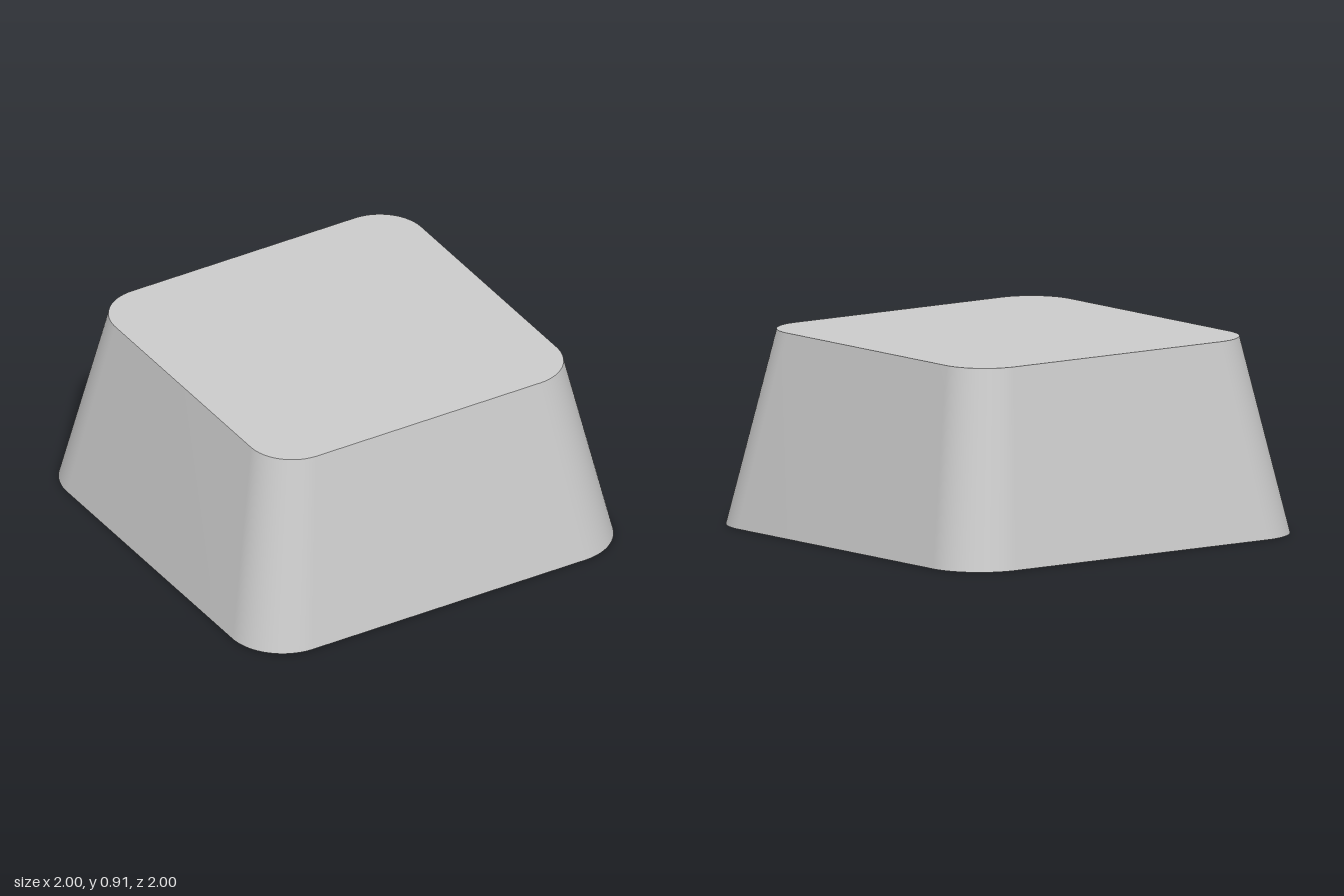
import * as THREE from 'three';
import { toCreasedNormals } from 'three/addons/utils/BufferGeometryUtils.js';

const HEIGHT = 0.91, HALF = 1, RADIUS = 0.27, TOP_SCALE = 0.82;

// Square outline with rounded corners
function roundedSquare(half, radius) {
  const shape = new THREE.Shape();
  const c = half - radius;
  [[c, c], [-c, c], [-c, -c], [c, -c]].forEach(([x, y], i) => {
    shape.absarc(x, y, radius, i * Math.PI / 2, (i + 1) * Math.PI / 2, false);
  });
  shape.closePath();
  return shape;
}

export function createModel() {
  const group = new THREE.Group();
  group.name = 'taperedBlock';

  // Upright prism standing on the ground
  const prism = new THREE.ExtrudeGeometry(roundedSquare(HALF, RADIUS), {
    depth: HEIGHT, bevelEnabled: false, curveSegments: 16,
  });
  prism.rotateX(-Math.PI / 2);

  // Taper evenly towards the top
  const pos = prism.attributes.position;
  for (let i = 0; i < pos.count; i++) {
    const s = 1 - (1 - TOP_SCALE) * pos.getY(i) / HEIGHT;
    pos.setXYZ(i, pos.getX(i) * s, pos.getY(i), pos.getZ(i) * s);
  }

  // Smooth round the sides, sharp at the top and bottom rims
  const body = new THREE.Mesh(
    toCreasedNormals(prism, 0.6),
    new THREE.MeshStandardMaterial({ color: 0xcccccc }),
  );
  body.name = 'body';
  group.add(body);
  return group;
}
